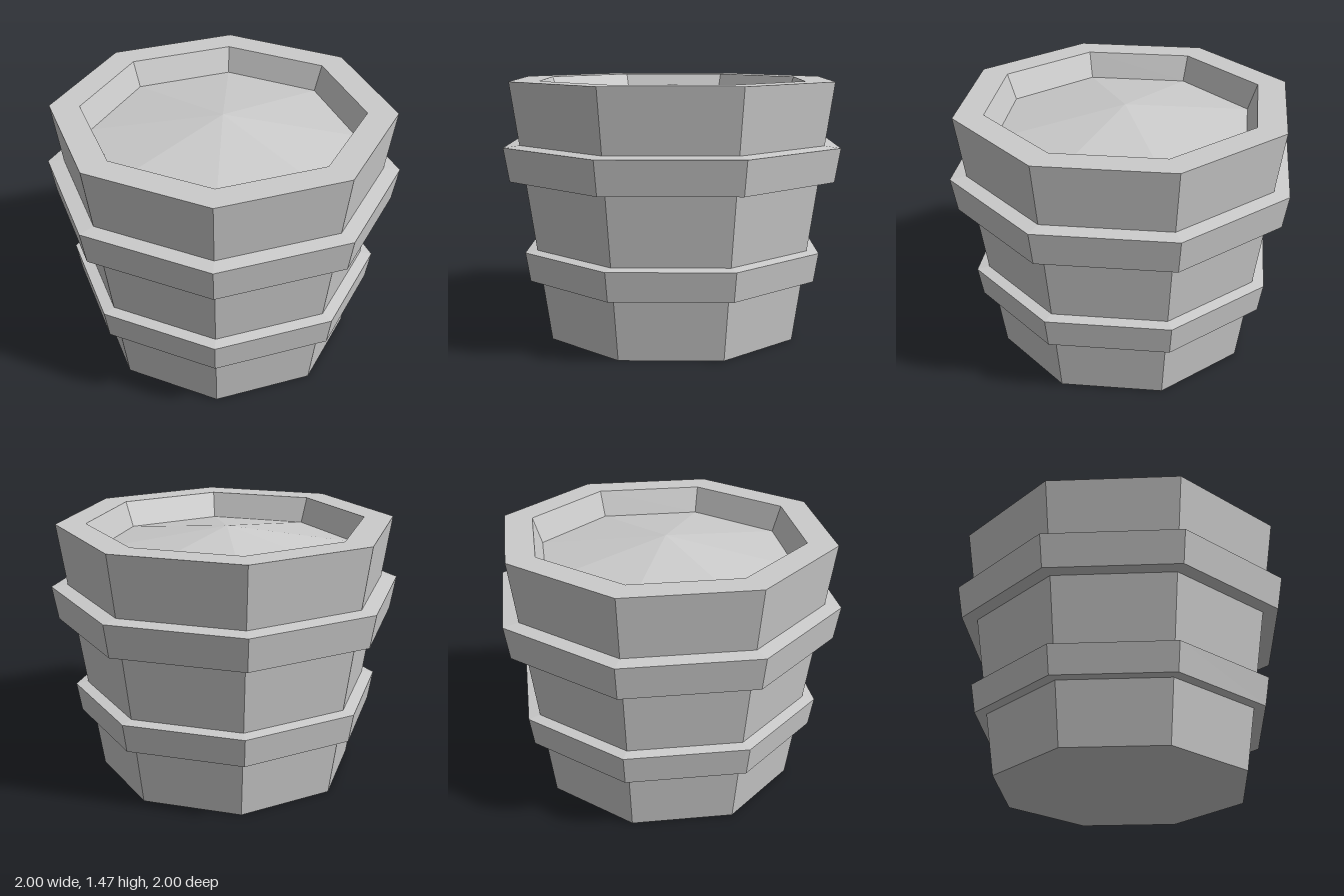
import * as THREE from 'three';

const SIDES = 8;
const material = new THREE.MeshStandardMaterial({ color: 0xcccccc, flatShading: true });

// Radius of the tapering wall at a given height
const wallRadius = (y) => 0.74 + 0.15 * y;

// Eight-sided turned part from [radius, height] pairs, listed from the bottom up the outside
function turned(name, profile) {
  const points = profile.map(([r, y]) => new THREE.Vector2(r, y));
  const mesh = new THREE.Mesh(new THREE.LatheGeometry(points, SIDES), material);
  mesh.name = name;
  return mesh;
}

// Hoop that stands out from the wall, with a slightly sloping top
function hoop(name, y0, y1, r0, r1) {
  return turned(name, [
    [wallRadius(y0) - 0.01, y0],
    [r0, y0],
    [r1, y1],
    [wallRadius(y1), y1 + 0.01],
  ]);
}

export function createModel() {
  const group = new THREE.Group();
  group.name = 'bucket';

  // Base, tapered wall, flat rim and inner lip
  group.add(turned('wall', [
    [0, 0],
    [0.74, 0],
    [0.96, 1.47],
    [0.79, 1.47],
    [0.735, 1.325],
  ]));

  // Contents: shallow faceted mound inside the rim
  group.add(turned('contents', [
    [0.735, 1.325],
    [0, 1.44],
  ]));

  group.add(hoop('lowerHoop', 0.35, 0.515, 0.86, 0.888));
  group.add(hoop('upperHoop', 0.92, 1.11, 0.967, 1.0));

  return group;
}
